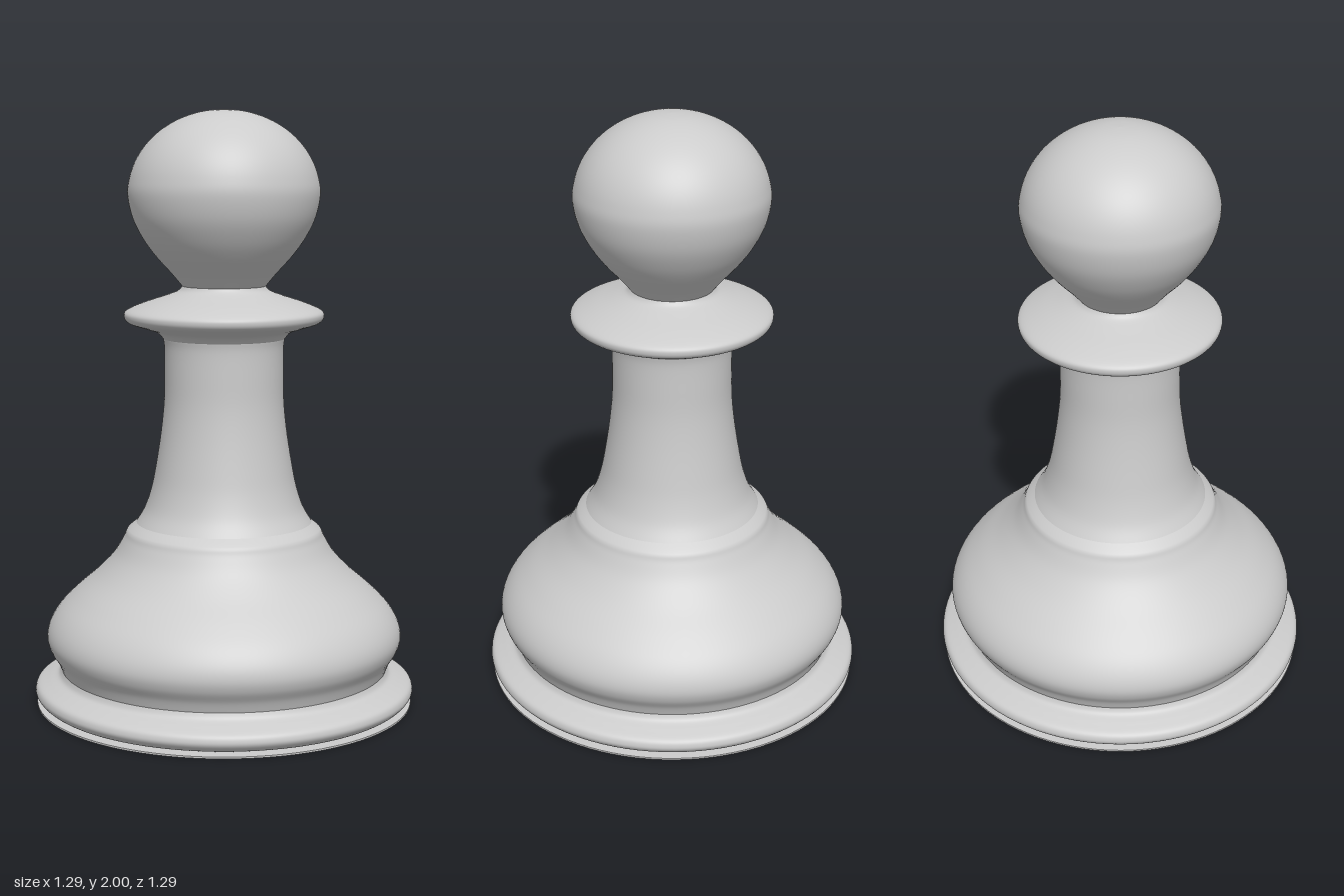
import * as THREE from 'three';

const material = new THREE.MeshStandardMaterial({ color: 0xcccccc, side: THREE.DoubleSide });

// Turned part: a smooth curve through [radius, height] points, spun around y
function turned(name, points, samples) {
  const curve = new THREE.SplineCurve(points.map(([r, y]) => new THREE.Vector2(r, y)));
  const profile = curve.getPoints(samples);
  profile.forEach((p) => { p.x = Math.max(p.x, 0); });
  const mesh = new THREE.Mesh(new THREE.LatheGeometry(profile, 96), material);
  mesh.name = name;
  return mesh;
}

export function createModel() {
  const group = new THREE.Group();
  group.name = 'pawn';

  // Thin flat disc under the foot
  const sole = new THREE.Mesh(new THREE.CylinderGeometry(0.64, 0.64, 0.006, 96), material);
  sole.name = 'sole';
  sole.position.y = 0.003;
  group.add(sole);

  // Rounded foot ring
  group.add(turned('footRing', [
    [0.59, 0.006], [0.622, 0.018], [0.641, 0.036], [0.645, 0.053], [0.635, 0.072],
    [0.6, 0.087], [0.568, 0.1], [0.556, 0.12],
  ], 40));

  // Bulging body up to the shoulder ridge
  group.add(turned('body', [
    [0.556, 0.12], [0.57, 0.155], [0.594, 0.195], [0.603, 0.235], [0.592, 0.28], [0.56, 0.33],
    [0.505, 0.385], [0.43, 0.45], [0.375, 0.51], [0.342, 0.565], [0.331, 0.59], [0.32, 0.602],
    [0.297, 0.62],
  ], 72));

  // Tapering stem
  group.add(turned('stem', [
    [0.297, 0.62], [0.268, 0.67], [0.245, 0.74], [0.229, 0.82], [0.212, 0.93],
    [0.202, 1.03], [0.2, 1.13], [0.2, 1.21], [0.204, 1.243],
  ], 40));

  // Collar
  group.add(turned('collar', [
    [0.204, 1.243], [0.228, 1.266], [0.28, 1.283], [0.322, 1.298], [0.335, 1.318],
    [0.325, 1.338], [0.27, 1.362], [0.2, 1.385], [0.155, 1.402], [0.14, 1.418],
  ], 54));

  // Head: flared neck closing into a slightly flattened dome
  const dome = [];
  for (let i = 0; i <= 8; i++) {
    const a = (i / 8) * Math.PI / 2;
    dome.push([0.32 * Math.cos(a), 1.72 + 0.28 * Math.sin(a)]);
  }
  group.add(turned('head', [
    [0.14, 1.418], [0.175, 1.46], [0.225, 1.515], [0.269, 1.575], [0.304, 1.645], ...dome,
  ], 78));

  return group;
}
